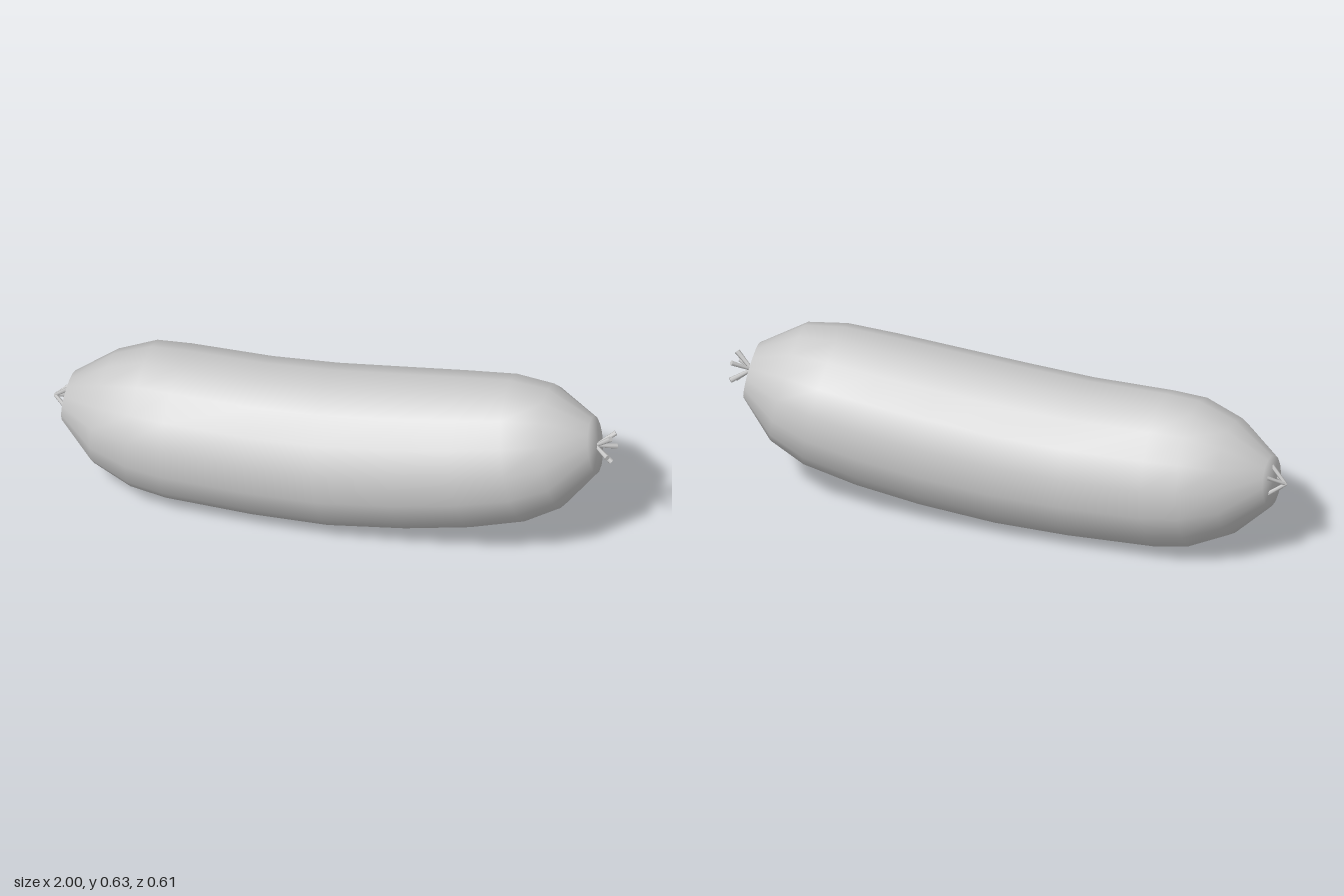
import * as THREE from 'three';

const SIDES = 16;

// Body stations: x, y, z of the centre, then radius
const STATIONS = [
  [-0.945, 0.31, 0.055, 0.09],
  [-0.81, 0.298, 0.055, 0.202],
  [-0.675, 0.293, 0.047, 0.257],
  [-0.55, 0.285, 0.04, 0.27],
  [-0.25, 0.28, 0.022, 0.275],
  [0, 0.29, 0.005, 0.28],
  [0.26, 0.318, -0.02, 0.278],
  [0.48, 0.35, -0.042, 0.27],
  [0.665, 0.385, -0.062, 0.254],
  [0.795, 0.415, -0.075, 0.214],
  [0.928, 0.44, -0.09, 0.1],
];

// Closed skin of rings set square to the bent axis, with a pole at each end
function bodyGeometry() {
  const centres = STATIONS.map(([x, y, z]) => new THREE.Vector3(x, y, z));
  const last = centres.length - 1;
  const positions = [];
  const index = [];
  centres.forEach((c, i) => {
    const t = centres[Math.min(i + 1, last)].clone().sub(centres[Math.max(i - 1, 0)]).normalize();
    const up = new THREE.Vector3(0, 1, 0).addScaledVector(t, -t.y).normalize();
    const side = t.clone().cross(up);
    const r = STATIONS[i][3] * 1.02;
    for (let j = 0; j < SIDES; j++) {
      const a = ((j + 0.5) / SIDES) * Math.PI * 2;
      const p = c.clone().addScaledVector(up, r * Math.cos(a)).addScaledVector(side, 0.97 * r * Math.sin(a));
      positions.push(p.x, p.y, p.z);
    }
  });
  const poleA = positions.length / 3;
  const poleB = poleA + 1;
  positions.push(-0.952, 0.31, 0.055, 0.94, 0.44, -0.09);
  for (let j = 0; j < SIDES; j++) {
    const k = (j + 1) % SIDES;
    for (let i = 0; i < last; i++) {
      const a = i * SIDES;
      const b = a + SIDES;
      index.push(a + j, a + k, b + j, a + k, b + k, b + j);
    }
    index.push(poleA, k, j, poleB, last * SIDES + j, last * SIDES + k);
  }
  const g = new THREE.BufferGeometry();
  g.setAttribute('position', new THREE.Float32BufferAttribute(positions, 3));
  g.setIndex(index);
  g.computeVertexNormals();
  return g;
}

// Thin rod between two points
function prong(from, to, material) {
  const a = new THREE.Vector3(...from);
  const dir = new THREE.Vector3(...to).sub(a);
  const mesh = new THREE.Mesh(new THREE.CylinderGeometry(0.01, 0.006, dir.length(), 6), material);
  mesh.position.copy(a).addScaledVector(dir, 0.5);
  mesh.quaternion.setFromUnitVectors(new THREE.Vector3(0, 1, 0), dir.normalize());
  mesh.name = 'prong';
  return mesh;
}

export function createModel() {
  const grey = new THREE.MeshStandardMaterial({ color: 0xcccccc });
  grey.name = 'skin grey';

  const model = new THREE.Group();
  model.name = 'sausage';

  const body = new THREE.Mesh(bodyGeometry(), grey);
  body.name = 'body';
  model.add(body);

  // Tied ends: five prongs, opening outward on the left end and inward on the right
  const leftKnot = new THREE.Group();
  leftKnot.name = 'leftKnot';
  const rightKnot = new THREE.Group();
  rightKnot.name = 'rightKnot';
  const spread = [[0.053, 0.015], [0.038, -0.043], [-0.027, -0.053], [-0.052, 0.007], [-0.003, 0.052]];
  for (const [dy, dz] of spread) {
    leftKnot.add(prong([0.93, 0.44, -0.087], [0.99, 0.44 + dy, -0.087 + dz], grey));
    rightKnot.add(prong([-0.995, 0.305, 0.06], [-0.895, 0.305 + dy * 1.8, 0.06 + dz * 1.8], grey));
  }
  model.add(leftKnot, rightKnot);
  return model;
}
